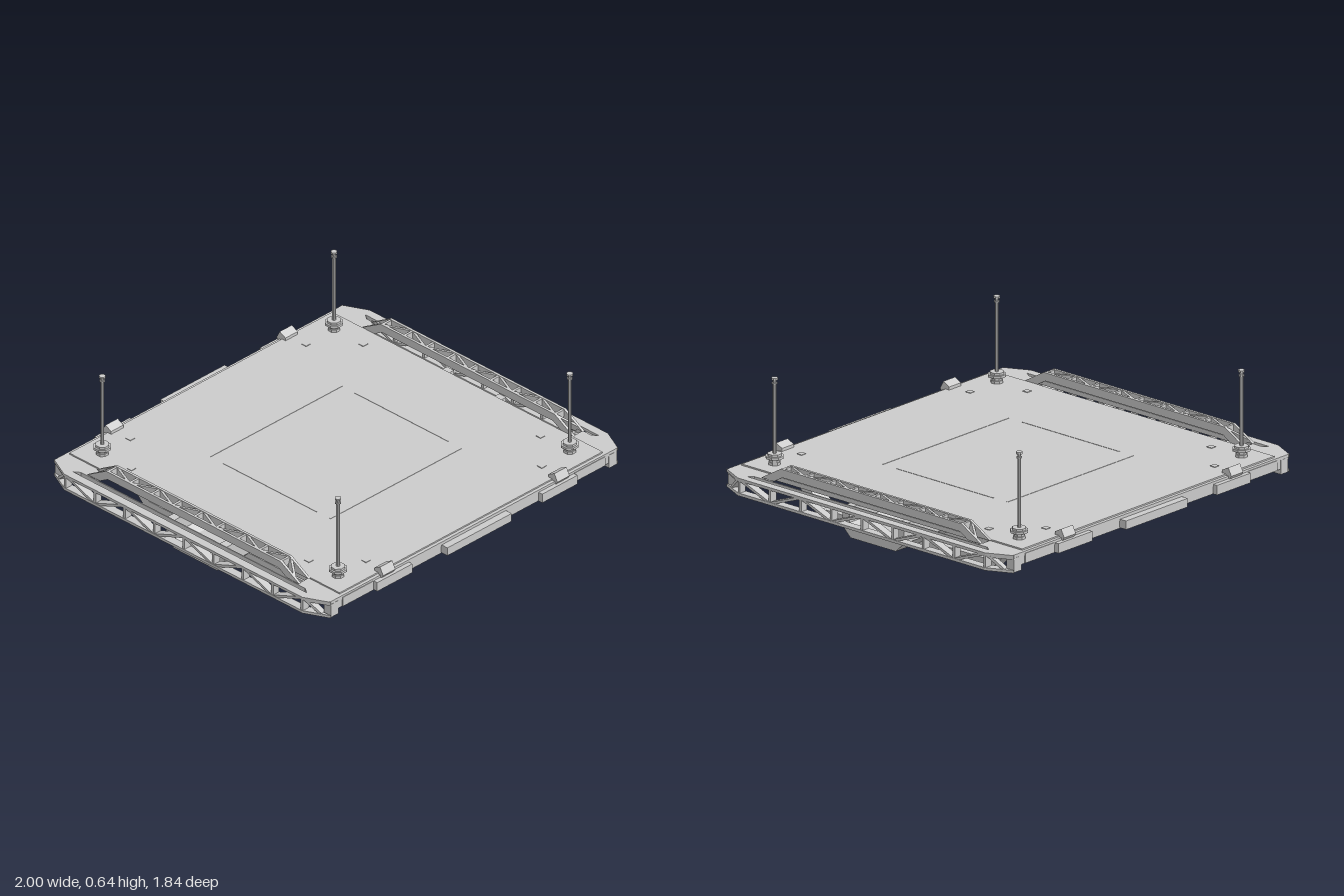
import * as THREE from 'three';

const mat = new THREE.MeshStandardMaterial({ color: 0xcccccc, flatShading: true });

function add(parent, name, geo, x = 0, y = 0, z = 0) {
  const m = new THREE.Mesh(geo, mat);
  m.name = name;
  m.position.set(x, y, z);
  parent.add(m);
  return m;
}
const box = (parent, name, x0, x1, y0, y1, z0, z1) =>
  add(parent, name, new THREE.BoxGeometry(x1 - x0, y1 - y0, z1 - z0), (x0 + x1) / 2, (y0 + y1) / 2, (z0 + z1) / 2);

const poly = pts => new THREE.Shape(pts.map(p => new THREE.Vector2(...p)));

// Extrudes a shape symmetrically about its own plane
const slab = (shape, depth) =>
  new THREE.ExtrudeGeometry(shape, { depth, bevelEnabled: false }).translate(0, 0, -depth / 2);

// Same, for a profile drawn in (z, y) and swept along x
const sweepX = (shape, width) => slab(shape, width).rotateY(-Math.PI / 2);

// Trapezoidal band: flat from -a to a at height v1, sloping to +-b at v0
function band(a, v1, b, v0, t) {
  const s = Math.sign(v1 - v0), ang = Math.atan2(Math.abs(v1 - v0), b - a);
  const ia = a - t * Math.tan(ang / 2), ib = b - t / Math.sin(ang), iv = v1 - s * t;
  return poly([[-b, v0], [-a, v1], [a, v1], [b, v0], [ib, v0], [ia, iv], [-ia, iv], [-ib, v0]]);
}

// Lattice girder following a trapezoidal band, rails at both sides of its width
function truss(name, a, v1, b, v0, t, width, panels, rail) {
  const g = new THREE.Group();
  g.name = name;
  const h = (width - rail) / 2;
  for (const s of [-1, 1]) add(g, 'rail', slab(band(a, v1, b, v0, t), rail), 0, 0, s * h);

  const ang = Math.atan2(v1 - v0, b - a);
  const ma = a - t / 2 * Math.tan(ang / 2), mb = b - t / 2 / Math.sin(ang);
  const nodes = [[-mb, v0]];
  for (let i = 0; i <= panels; i++) nodes.push([-ma + 2 * ma * i / panels, v1 - t / 2]);
  nodes.push([mb, v0]);

  nodes.forEach(([u, v], i) => {
    if (i > 0 && i < nodes.length - 1)
      add(g, 'crossBar', new THREE.BoxGeometry(rail, t * 0.9, 2 * h), u, v, 0);
    if (i === nodes.length - 1) return;
    const [u2, v2] = nodes[i + 1], len = Math.hypot(u2 - u, v2 - v);
    const panel = new THREE.Group();
    panel.name = 'panel';
    panel.position.set((u + u2) / 2, (v + v2) / 2, 0);
    panel.rotation.z = Math.atan2(v2 - v, u2 - u);
    const strut = add(panel, 'diagonal', new THREE.BoxGeometry(Math.hypot(len, 2 * h), t * 0.9, rail * 0.9));
    strut.rotation.y = Math.atan2(2 * h, len) * (i % 2 ? 1 : -1);
    g.add(panel);
  });
  return g;
}

function orient(g, X, Y, Z, pos) {
  g.quaternion.setFromRotationMatrix(new THREE.Matrix4().makeBasis(
    new THREE.Vector3(...X), new THREE.Vector3(...Y), new THREE.Vector3(...Z)));
  g.position.set(...pos);
  return g;
}

function cornerPole(x, z) {
  const g = new THREE.Group();
  g.name = 'cornerPole';
  g.position.set(x, 0, z);
  const oct = (name, r, y0, y1) =>
    add(g, name, new THREE.CylinderGeometry(r, r, y1 - y0, 8).rotateY(Math.PI / 8), 0, (y0 + y1) / 2, 0);
  oct('foot', 0.03, 0.215, 0.235);
  oct('collar', 0.025, 0.235, 0.252);
  oct('flange', 0.044, 0.252, 0.264);
  oct('flangeTop', 0.034, 0.264, 0.275);
  oct('mast', 0.009, 0.27, 0.64);
  oct('ring', 0.014, 0.612, 0.618);
  oct('cap', 0.016, 0.632, 0.642);
  return g;
}

export function createModel() {
  const root = new THREE.Group();
  root.name = 'platform';

  // Deck plate with side slots and tapered corners
  const q = [[0.935, 0], [0.935, 0.72], [0.96, 0.755], [0.993, 0.775], [0.938, 0.885]];
  const mirror = (pts, sx, sy) => pts.map(([x, y]) => [x * sx, y * sy]);
  const outline = [...q, ...mirror(q, -1, 1).reverse(), ...mirror(q.slice(1), -1, -1), ...mirror(q.slice(1), 1, -1).reverse()];
  const deck = poly(outline);
  for (const s of [-1, 1])
    deck.holes.push(new THREE.Path([[0.864, -0.668], [0.93, -0.668], [0.93, 0.668], [0.864, 0.668]]
      .map(([x, y]) => new THREE.Vector2(s * x, y))));
  add(root, 'deck', slab(deck, 0.022).rotateX(-Math.PI / 2), 0, 0.204, 0);
  box(root, 'deckTop', -0.86, 0.86, 0.21, 0.222, -0.868, 0.868);

  // Shallow outline in the middle of the deck
  for (const s of [-1, 1]) {
    box(root, 'deckLine', -0.43, 0.43, 0.22, 0.2235, s * 0.385 - 0.003, s * 0.385 + 0.003);
    box(root, 'deckLine', s * 0.43 - 0.003, s * 0.43 + 0.003, 0.22, 0.2235, -0.3, 0.3);
  }

  // Long underside supports and the crosswise channel
  for (const s of [-1, 1]) {
    add(root, 'wideSupport', sweepX(band(0.53, 0, 0.725, 0.195, 0.048), 0.37), s * 0.307);
    add(root, 'narrowSupport', sweepX(band(0.53, 0, 0.725, 0.195, 0.048), 0.08), s * 0.665);
  }
  const c = [[0.19, 0.195], [0.19, 0.1], [0.14, 0.052]];
  const ci = [[0.1, 0.097], [0.145, 0.125], [0.145, 0.195]];
  add(root, 'crossChannel', sweepX(poly([...c, ...mirror(c, -1, 1).reverse(),
    ...mirror(ci, -1, 1).reverse(), ...ci]), 1.84));

  // Front and back edges
  for (const s of [1, -1]) {
    const edge = new THREE.Group();
    edge.name = s > 0 ? 'frontEdge' : 'backEdge';
    if (s < 0) edge.rotation.y = Math.PI;
    root.add(edge);
    box(edge, 'rim', -0.93, 0.93, 0.155, 0.21, 0.855, 0.882);
    box(edge, 'middleBumper', -0.21, 0.21, 0.158, 0.2, 0.875, 0.922);
    for (const m of [-1, 1]) {
      box(edge, 'sideBumper', m * 0.54 - 0.115, m * 0.54 + 0.115, 0.156, 0.203, 0.875, 0.908);
      box(edge, 'rimPlate', m * 0.76 - 0.1, m * 0.76 + 0.1, 0.157, 0.205, 0.875, 0.888);
      box(edge, 'cornerBlock', m * 0.91 - 0.025, m * 0.91 + 0.025, 0.13, 0.2, 0.84, 0.886);
      // Tilted clamp on the edge
      add(edge, 'clamp', sweepX(poly([[0.845, 0.21], [0.845, 0.237], [0.882, 0.256], [0.902, 0.218], [0.89, 0.2]]), 0.08), m * 0.57);
      for (const x of [0.215, 0.41])
        box(edge, 'supportTab', m * x - 0.043, m * x + 0.043, 0.135, 0.195, 0.665, 0.73);
    }
  }

  // Side girders: outer one in the wall plane, upper one arching over the slot
  for (const s of [1, -1]) {
    const side = new THREE.Group();
    side.name = s > 0 ? 'leftGirders' : 'rightGirders';
    if (s < 0) side.rotation.y = Math.PI;
    root.add(side);
    side.add(orient(truss('outerGirder', 0.765, 1.0, 0.89, 0.94, 0.043, 0.086, 8, 0.014),
      [0, 0, 1], [1, 0, 0], [0, 1, 0], [0, 0.172, 0]));
    side.add(orient(truss('upperGirder', 0.56, 0.29, 0.68, 0.22, 0.04, 0.074, 8, 0.013),
      [0, 0, 1], [0, 1, 0], [-1, 0, 0], [0.897, 0, 0]));
  }

  // Corner poles and small deck sockets
  for (const sx of [-1, 1]) for (const sz of [-1, 1]) {
    root.add(cornerPole(sx * 0.758, sz * 0.757));
    for (const [x, z] of [[0.575, 0.757], [0.758, 0.57]])
      box(root, 'socket', sx * x - 0.015, sx * x + 0.015, 0.22, 0.225, sz * z - 0.015, sz * z + 0.015);
  }
  return root;
}
